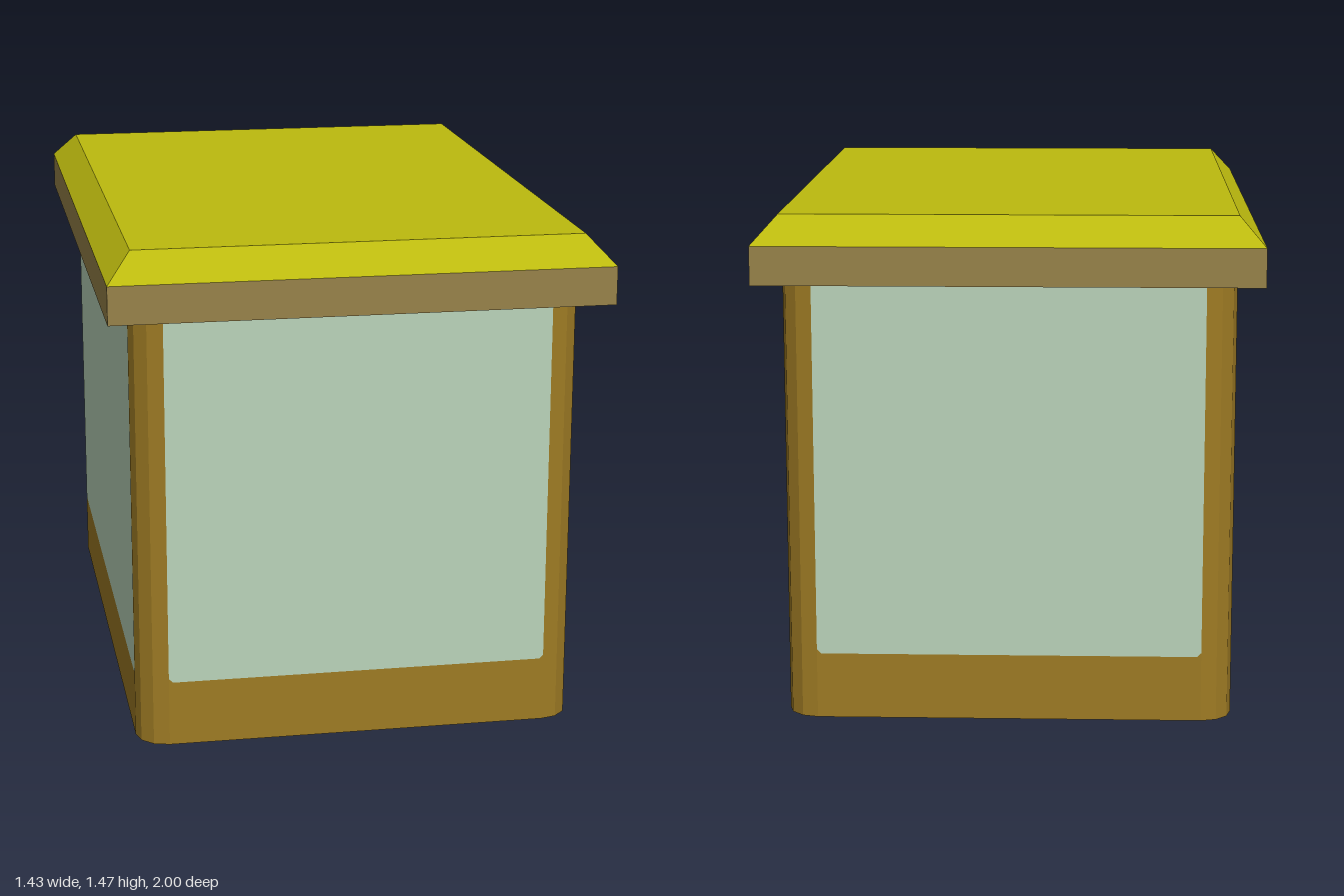
import * as THREE from 'three';

const mat = (name, color, extra = {}) => {
  const m = new THREE.MeshStandardMaterial({ color, flatShading: true, ...extra });
  m.name = name;
  return m;
};

export function createModel() {
  const open = { side: THREE.DoubleSide };
  const wood = mat('brown wood', 0x9e7b24, open);
  const glass = mat('pale green glass', 0xbad4ba, open);
  const trim = mat('tan trim', 0x98834a);
  const yellow = mat('yellow', 0xbcba0e);
  const orange = mat('orange', 0xdc7812);
  const dark = mat('charcoal', 0x424242);

  const model = new THREE.Group();
  model.name = 'kiosk';
  const add = (parent, name, geometry, material) => {
    const mesh = new THREE.Mesh(geometry, material);
    mesh.name = name;
    parent.add(mesh);
    return mesh;
  };

  // Walls: thin shell, open at the bottom
  const X = 0.645, Z = 0.915, R = 0.09, H = 1.28, SILL = 0.192, C = 0.012;
  const wall = (name, half, dist, angle) => {
    const g = new THREE.Group();
    g.name = name;
    const pane = [[-half, H], [-half, SILL + C], [-half + C, SILL], [half - C, SILL], [half, SILL + C], [half, H]];
    const base = [[-half, 0], [half, 0], [half, SILL + C], [half - C, SILL], [-half + C, SILL], [-half, SILL + C]];
    const plate = pts => new THREE.ShapeGeometry(new THREE.Shape(pts.map(p => new THREE.Vector2(...p))));
    add(g, 'windowPane', plate(pane), glass).position.z = dist;
    add(g, 'lowerWall', plate(base), wood).position.z = dist;
    g.rotation.y = angle;
    model.add(g);
  };
  wall('frontWall', X - R, Z, 0);
  wall('leftWall', Z - R, X, Math.PI / 2);
  wall('backWall', X - R, Z, Math.PI);
  wall('rightWall', Z - R, X, -Math.PI / 2);

  // Rounded corner posts, three facets each
  [[1, 1], [1, -1], [-1, -1], [-1, 1]].forEach(([sx, sz], i) => {
    const g = new THREE.CylinderGeometry(R, R, H, 3, 1, true, i * Math.PI / 2, Math.PI / 2);
    add(model, 'cornerPost', g, wood).position.set(sx * (X - R), H / 2, sz * (Z - R));
  });

  // Roof: flat fascia and a bevelled cap
  add(model, 'roofFascia', new THREE.BoxGeometry(1.43, 0.11, 2), trim).position.y = 1.335;
  const cap = new THREE.BoxGeometry(1.43, 0.08, 2);
  const p = cap.attributes.position;
  for (let i = 0; i < p.count; i++) {
    if (p.getY(i) > 0) p.setXYZ(i, Math.sign(p.getX(i)) * 0.643, 0.04, Math.sign(p.getZ(i)) * 0.917);
  }
  cap.computeVertexNormals();
  add(model, 'roofCap', cap, yellow).position.y = 1.43;

  // Hatch on the left wall
  const hatch = new THREE.Group();
  hatch.name = 'hatch';
  model.add(hatch);
  // Box between limits in x, y and z
  const slab = (name, x0, x1, y0, y1, z0, z1, material) =>
    add(hatch, name, new THREE.BoxGeometry(x1 - x0, y1 - y0, z1 - z0), material)
      .position.set((x0 + x1) / 2, (y0 + y1) / 2, (z0 + z1) / 2);

  // Rectangle with rounded corners, drawn in the z-y plane
  const rounded = (path, z0, z1, y0, y1, r) => {
    path.moveTo(-z0 - r, y0);
    [[-z0, y0, -z0, y0 + r], [-z0, y1, -z0 - r, y1], [-z1, y1, -z1, y1 - r], [-z1, y0, -z1 + r, y0]]
      .forEach(([cx, cy, ex, ey], i) => {
        if (i === 0) path.lineTo(cx - r, cy);
        if (i === 1) path.lineTo(cx, cy - r);
        if (i === 2) path.lineTo(cx + r, cy);
        if (i === 3) path.lineTo(cx, cy + r);
        path.quadraticCurveTo(cx, cy, ex, ey);
      });
    return path;
  };
  // Hollow frame from an outer and an inner rectangle
  const frame = (name, outer, inner, x0, x1) => {
    const shape = rounded(new THREE.Shape(), ...outer);
    shape.holes.push(rounded(new THREE.Path(), ...inner));
    const g = new THREE.ExtrudeGeometry(shape, { depth: x1 - x0, bevelEnabled: false, curveSegments: 3 });
    g.rotateY(Math.PI / 2);
    g.translate(x0, 0, 0);
    add(hatch, name, g, dark);
  };
  frame('hatchFrame', [0.1, 0.55, 0.003, 0.46, 0.001], [0.122, 0.52, 0.03, 0.428, 0.01], 0.645, 0.69);
  frame('hatchWindowFrame', [0.155, 0.487, 0.198, 0.4, 0.02], [0.188, 0.455, 0.23, 0.368, 0.01], 0.668, 0.684);
  slab('hatchHandle', 0.668, 0.684, 0.07, 0.21, 0.457, 0.487, dark);
  slab('hatchPanel', 0.646, 0.668, 0.02, 0.44, 0.11, 0.53, wood);

  // Painted panels
  const F = 0.668, B = 0.674;
  slab('topBand', F, B, 0.398, 0.43, 0.12, 0.522, orange);
  slab('upperEdge', F, B, 0.365, 0.398, 0.484, 0.522, orange);
  slab('frontStripe', F, B, 0.23, 0.365, 0.484, 0.522, yellow);
  slab('backStripe', F, B, 0.255, 0.398, 0.12, 0.158, yellow);
  slab('backMarker', F, B, 0.23, 0.255, 0.12, 0.158, orange);
  slab('windowSill', F, B, 0.22, 0.258, 0.18, 0.465, yellow);
  slab('hatchPane', F, B, 0.258, 0.375, 0.18, 0.465, glass);
  slab('hatchFoot', 0.6, 0.685, 0, 0.008, 0.11, 0.54, yellow);

  return model;
}
